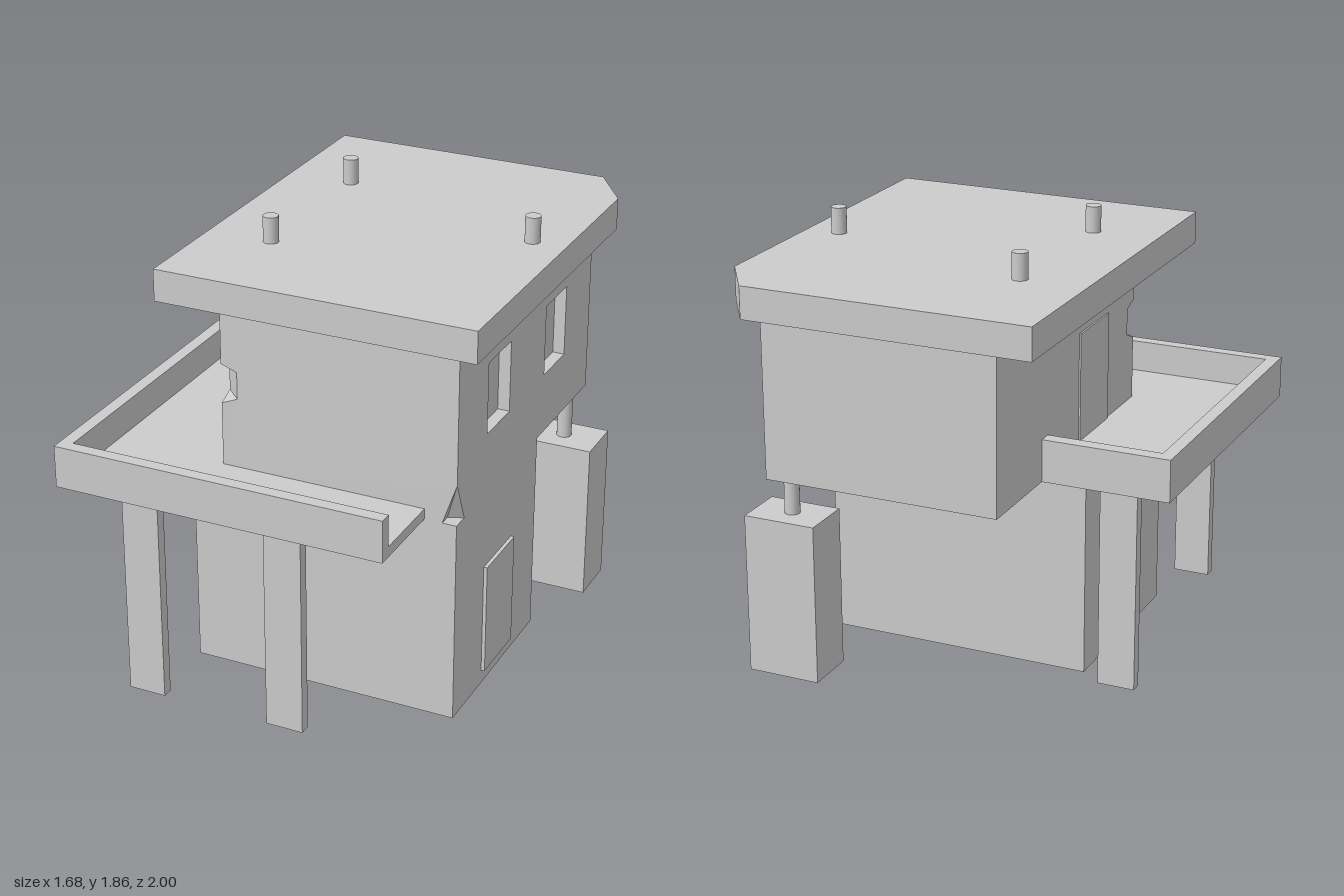
import * as THREE from 'three';

const mat = new THREE.MeshStandardMaterial({ color: 0xcccccc, side: THREE.DoubleSide, flatShading: true });

export function createModel() {
  const model = new THREE.Group();

  const add = (name, geo, parent = model) => {
    const m = new THREE.Mesh(geo, mat);
    m.name = name;
    parent.add(m);
    return m;
  };

  // Box from min/max ranges; `open` drops one side (0 +x, 1 -x, 2 +y, 3 -y, 4 +z, 5 -z)
  const box = (name, [x0, x1], [y0, y1], [z0, z1], open = -1, parent = model) => {
    const g = new THREE.BoxGeometry(x1 - x0, y1 - y0, z1 - z0);
    if (open >= 0) {
      g.setIndex([...g.index.array].filter((_, i) => Math.floor(i / 6) !== open));
      g.clearGroups();
    }
    g.translate((x0 + x1) / 2, (y0 + y1) / 2, (z0 + z1) / 2);
    return add(name, g, parent);
  };

  // Flat wall outlined in [x or z, y], facing +z, -z, +x or -x, at the given offset
  const facings = { front: [1, 0], back: [-1, Math.PI], left: [-1, Math.PI / 2], right: [1, -Math.PI / 2] };
  const wall = (name, facing, offset, points, holes = [], parent = model) => {
    const [sign, angle] = facings[facing];
    const v = (p) => new THREE.Vector2(sign * p[0], p[1]);
    const shape = new THREE.Shape(points.map(v));
    for (const h of holes) shape.holes.push(new THREE.Path(h.map(v)));
    const g = new THREE.ShapeGeometry(shape).rotateY(angle);
    if (facing === 'front' || facing === 'back') g.translate(0, 0, offset);
    else g.translate(offset, 0, 0);
    return add(name, g, parent);
  };
  const rect = (a0, a1, y0, y1) => [[a0, y0], [a1, y0], [a1, y1], [a0, y1]];

  // Fan of triangles through a few corners
  const facet = (name, corners, parent) => {
    const g = new THREE.BufferGeometry().setFromPoints(corners.map((c) => new THREE.Vector3(...c)));
    const idx = [];
    for (let i = 1; i < corners.length - 1; i++) idx.push(0, i, i + 1);
    g.setIndex(idx);
    g.computeVertexNormals();
    return add(name, g, parent);
  };

  const cylinder = (name, r, y0, y1, x, z) =>
    add(name, new THREE.CylinderGeometry(r, r, y1 - y0, 24).translate(x, (y0 + y1) / 2, z))
      .material = pipeMat;
  const pipeMat = new THREE.MeshStandardMaterial({ color: 0xcccccc });

  // Lower storey, open underneath, with a recessed window on the -x side
  const lower = new THREE.Group();
  lower.name = 'lowerStorey';
  model.add(lower);
  const LX = [-0.43, 0.72], LZ = [-0.22, 0.615], LY = [0, 0.875];
  wall('lowerFrontWall', 'front', LZ[1], rect(...LX, ...LY), [], lower);
  wall('lowerBackWall', 'back', LZ[0], rect(...LX, ...LY), [], lower);
  wall('lowerLeftWall', 'left', LX[1], rect(...LZ, ...LY), [], lower);
  wall('lowerRightWall', 'right', LX[0], rect(...LZ, ...LY), [rect(0.12, 0.33, 0.48, 0.75)], lower);
  box('lowerWindowRecess', [-0.43, -0.38], [0.48, 0.75], [0.12, 0.33], 1, lower);
  add('lowerCeiling', new THREE.PlaneGeometry(1.15, 0.835).rotateX(-Math.PI / 2)
    .translate(0.145, 0.874, 0.1975), lower);
  box('groundDoor', [0.715, 0.735], [0.06, 0.545], [0.04, 0.325], -1, lower);

  // Upper storey with chipped bottom corner, corner notch and recessed windows
  const upper = new THREE.Group();
  upper.name = 'upperStorey';
  model.add(upper);
  const x0 = -0.295, x1 = 0.72, z0 = -0.785, z1 = 0.615, y0 = 0.875, y1 = 1.615;
  const windows = [[0.1, 0.325], [-0.5, -0.275]];
  wall('upperFrontWall', 'front', z1, [[x0, y0], [0.66, y0], [x1, 1.05], [x1, y1], [x0, y1],
    [x0, 1.36], [-0.225, 1.335], [-0.225, 1.22], [x0, 1.19]], [], upper);
  wall('upperBackWall', 'back', z0, rect(x0, x1, y0, y1), [], upper);
  wall('upperLeftWall', 'left', x1, [[z0, y0], [0.54, y0], [z1, 1.05], [z1, y1], [z0, y1]],
    windows.map((w) => rect(...w, 1.14, 1.445)), upper);
  wall('upperRightWall', 'right', x0, [[z0, y0], [z1, y0], [z1, 1.19], [0.545, 1.22],
    [0.545, 1.335], [z1, 1.36], [z1, y1], [z0, y1]], [], upper);
  for (const w of windows) box('windowRecess', [0.67, x1], [1.14, 1.445], w, 0, upper);
  facet('upperFloor', [[0.66, y0, 0.565], [0.66, y0, z1], [x0, y0, z1], [x0, y0, z0],
    [x1, y0, z0], [x1, y0, 0.54]], upper);

  // Two facets of the chipped bottom corner
  const tip = [x1, 1.05, z1], inner = [0.66, y0, 0.565];
  facet('cornerChip', [tip, [0.66, y0, z1], inner], upper);
  facet('cornerChip', [tip, inner, [x1, y0, 0.54]], upper);

  // Notch through the front corner
  const a = [-0.225, 1.22, z1], b = [-0.225, 1.335, z1], c = [x0, 1.335, 0.545], d = [x0, 1.22, 0.545];
  facet('notchBack', [a, b, c, d], upper);
  facet('notchTop', [b, [x0, 1.36, z1], c], upper);
  facet('notchBottom', [a, d, [x0, 1.19, z1]], upper);

  // Door to the terrace
  box('terraceDoor', [-0.302, -0.29], [0.92, 1.385], [0.02, 0.32], -1, upper);

  // Roof slab with one cut corner
  const roof = new THREE.Shape([[-0.535, -0.7], [0.825, -0.7], [0.825, 0.785], [0.68, 1], [-0.535, 1]]
    .map((p) => new THREE.Vector2(...p)));
  add('roof', new THREE.ExtrudeGeometry(roof, { depth: 0.135, bevelEnabled: false })
    .rotateX(-Math.PI / 2).translate(0, 1.615, 0));
  for (const [x, z] of [[-0.255, -0.48], [-0.255, 0.25], [0.68, -0.195]]) {
    cylinder('roofPipe', 0.032, 1.74, 1.86, x, z);
  }

  // L-shaped terrace: floor strips and parapets
  const terrace = new THREE.Group();
  terrace.name = 'terrace';
  model.add(terrace);
  box('terraceFloorFront', [-0.785, 0.585], [0.875, 0.92], [0.615, 0.945], -1, terrace);
  box('terraceFloorSide', [-0.785, -0.295], [0.875, 0.92], [-0.295, 0.615], -1, terrace);
  box('parapetFront', [-0.84, 0.585], [0.875, 1.055], [0.945, 1], -1, terrace);
  box('parapetSide', [-0.84, -0.785], [0.875, 1.055], [-0.355, 0.945], -1, terrace);
  box('parapetBack', [-0.785, -0.295], [0.875, 1.055], [-0.355, -0.295], -1, terrace);

  // Terrace posts, open underneath
  for (const [x, z] of [[-0.56, 0.92], [0.065, 0.92], [-0.68, -0.29]]) {
    box('post', [x, x + 0.16], [0, 0.876], [z, z + 0.048], 3);
  }

  // Tank behind the house, piped into the upper floor
  box('tank', [0.525, 0.84], [0, 0.69], [-0.765, -0.54], 3);
  cylinder('tankPipe', 0.032, 0.68, 0.88, 0.68, -0.652);

  return model;
}
